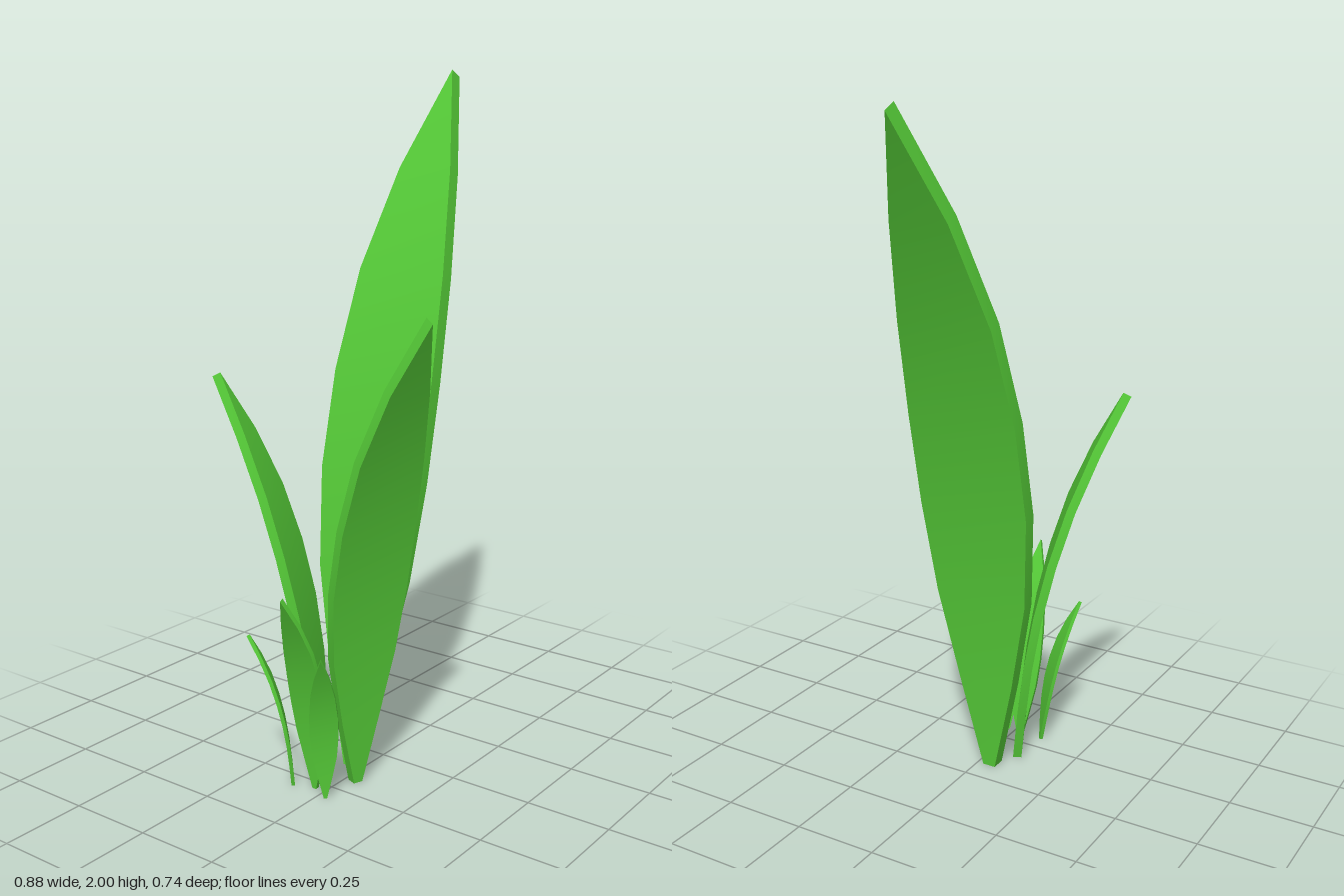
import * as THREE from 'three';
import { toCreasedNormals } from 'three/addons/utils/BufferGeometryUtils.js';

// Blade cross-sections, root to tip: [outward lean, height, half width]
const SECTIONS = [
  [0, 0, 0.02], [0.024, 0.29, 0.088], [0.056, 0.575, 0.146], [0.102, 0.86, 0.172],
  [0.167, 1.14, 0.17], [0.255, 1.425, 0.145], [0.372, 1.71, 0.088], [0.511, 1.987, 0],
];
const HALF_THICKNESS = 0.022;

// One thick, flat-faced blade that leans towards +x
function bladeGeometry() {
  const last = SECTIONS.length - 1;
  const rings = SECTIONS.map(([u, y, w], i) => {
    const a = SECTIONS[Math.max(i - 1, 0)], b = SECTIONS[Math.min(i + 1, last)];
    const n = new THREE.Vector2(b[1] - a[1], a[0] - b[0]).normalize().multiplyScalar(HALF_THICKNESS);
    if (i === 0) n.set(HALF_THICKNESS, 0); // root is cut level with the ground
    return [[1, 1], [1, -1], [-1, -1], [-1, 1]].map(([s, t]) => [u + s * n.x, y + s * n.y, t * w]);
  });
  const pos = [];
  const tri = (...points) => points.forEach((p) => pos.push(...p));
  for (let i = 0; i < last; i++) {
    for (let k = 0; k < 4; k++) {
      const m = (k + 1) % 4, lower = rings[i], upper = rings[i + 1];
      tri(lower[k], lower[m], upper[m]);
      // the broad faces end in a single triangle at the tip
      if (i < last - 1 || k % 2 === 1) tri(lower[k], upper[m], upper[k]);
    }
  }
  // root cap
  const r = rings[0];
  tri(r[2], r[1], r[0]);
  tri(r[3], r[2], r[0]);
  const geometry = new THREE.BufferGeometry();
  geometry.setAttribute('position', new THREE.Float32BufferAttribute(pos, 3));
  return toCreasedNormals(geometry, Math.PI / 5);
}

export function createModel() {
  const plant = new THREE.Group();
  plant.name = 'leafyPlant';
  const green = new THREE.MeshStandardMaterial({ color: 0x56cc38 });
  const geometry = bladeGeometry();

  // name, root x, root z, lean direction x, z, scale
  const leaves = [
    ['tallLeaf', -0.095, -0.04, 1, 0, 1],
    ['frontLeaf', -0.178, 0.03, -0.125, 0.33, 0.695],
    ['backLeaf', -0.172, -0.085, -0.128, -0.271, 0.587],
    ['smallSideLeaf', -0.28, -0.035, -0.155, 0.018, 0.31],
    ['smallBackLeaf', -0.305, -0.097, -0.08, -0.088, 0.232],
    ['smallFrontLeaf', -0.31, 0.025, -0.098, 0.066, 0.232],
  ];
  for (const [name, x, z, dx, dz, scale] of leaves) {
    const leaf = new THREE.Mesh(geometry, green);
    leaf.name = name;
    leaf.position.set(x, 0, z);
    leaf.rotation.y = Math.atan2(-dz, dx);
    leaf.scale.setScalar(scale);
    plant.add(leaf);
  }
  return plant;
}
